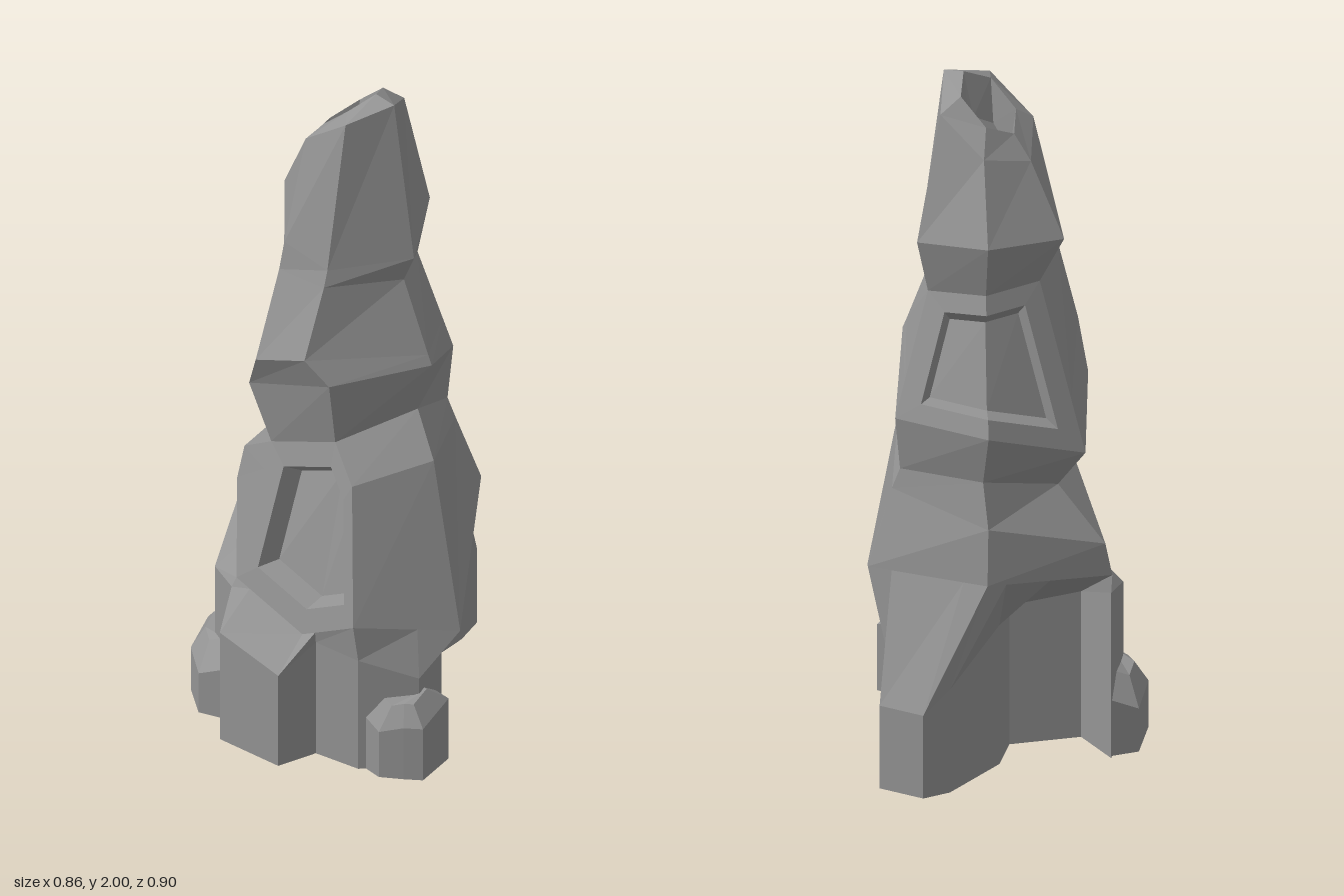
import * as THREE from 'three';

const V = (x, y, z) => new THREE.Vector3(x, y, z);
const [A, B, C, D, E, F] = [0, 1, 2, 3, 4, 5]; // ring corners, from +x towards +z

// Collects flat facets and turns them into one mesh
class Facets {
  constructor() { this.pos = []; }
  tri(a, b, c) { for (const p of [a, b, c]) this.pos.push(p.x, p.y, p.z); }
  quad(a, b, c, d) { this.tri(a, b, c); this.tri(a, c, d); }
  // Wall between two rings of equal length
  band(lo, hi, skip = () => false) {
    lo.forEach((p, i) => {
      const j = (i + 1) % lo.length;
      if (!skip(i)) this.quad(lo[j], p, hi[i], hi[j]);
    });
  }
  // Upward-facing lid
  cap(ring) {
    for (let i = 1; i < ring.length - 1; i++) this.tri(ring[0], ring[i + 1], ring[i]);
  }
  mesh(name, material) {
    const g = new THREE.BufferGeometry();
    g.setAttribute('position', new THREE.Float32BufferAttribute(this.pos, 3));
    g.computeVertexNormals();
    const m = new THREE.Mesh(g, material);
    m.name = name;
    return m;
  }
}

// Six-cornered panel with a sunken hollow, creased between corners 2 and 5
function hollow(f, poly, scale, depth, floorScale) {
  const c = poly[2].clone().lerp(poly[5], 0.5);
  const normal = V(0, 0, 0);
  poly.forEach((p, i) => {
    normal.add(p.clone().sub(c).cross(poly[(i + 1) % 6].clone().sub(c)));
  });
  normal.normalize();
  const rim = poly.map((p) => c.clone().lerp(p, scale));
  const floor = poly.map((p) => c.clone().lerp(p, scale * floorScale).addScaledVector(normal, -depth));
  for (let i = 0; i < 6; i++) {
    const j = (i + 1) % 6;
    f.quad(poly[i], poly[j], rim[j], rim[i]);
    f.quad(rim[i], rim[j], floor[j], floor[i]);
  }
  f.quad(floor[2], floor[3], floor[4], floor[5]);
  f.quad(floor[5], floor[0], floor[1], floor[2]);
}

// Boulder, open below: footprint corners [x, z, height], bevelled to a raised top
function boulder(name, material, corners) {
  const f = new Facets();
  const wall = corners.map(([x, z, h]) => V(x, h, z));
  const mid = wall.reduce((s, p) => s.add(p), V(0, 0, 0)).divideScalar(wall.length);
  const top = wall.map((p) => p.clone().lerp(mid, 0.5).add(V(0, 0.055, 0)));
  f.band(corners.map(([x, z]) => V(x, 0, z)), wall);
  f.band(wall, top);
  f.cap(top);
  return f.mesh(name, material);
}

// Tilted hexagonal cross-section of the spire
function section([y, tiltX, tiltZ, cx, halfWidth, front, back, side = 0]) {
  return [1, 0.5, -0.5, -1, -0.5, 0.5].map((u, i) => {
    const v = [0, 1, 1, 0, -1, -1][i];
    return V(cx + halfWidth * u, y + tiltX * u + tiltZ * v, [back, side, front][v + 1]);
  });
}

function spire(material) {
  const f = new Facets();
  // y, tilt in x, tilt in z, centre x, half width, front z, back z, side z
  const r = [
    [0.5, -0.06, -0.08, 0.005, 0.405, 0.335, -0.31, 0.06],
    [0.78, 0.12, 0.02, -0.05, 0.34, 0.25, -0.26, 0.04],
    [0.92, 0.095, 0, -0.03, 0.23, 0.22, -0.235],
    [1.06, 0.12, 0.02, -0.05, 0.3, 0.265, -0.27],
    [1.16, 0.05, 0.06, -0.03, 0.267, 0.3, -0.249],
    [1.425, 0, 0.03, -0.025, 0.175, 0.21, -0.165],
    [1.54, -0.03, -0.03, -0.047, 0.233, 0.2, -0.21],
    [1.885, 0.105, 0.02, -0.028, 0.143, 0.125, -0.13],
    [1.925, 0.075, 0, -0.033, 0.083, 0.075, -0.08], // crater rim
    [1.8, 0.07, 0, -0.036, 0.053, 0.06, -0.055], // crater floor
  ].map(section);
  // Corners knocked out of the regular shape: ring, corner, position
  for (const [k, i, ...p] of [
    [0, A, 0.41, 0.4, 0.07], [0, B, 0.24, 0.47, 0.33], [0, C, -0.175, 0.465, 0.335],
    [0, E, -0.2, 0.6, -0.27], [0, F, 0.155, 0.6, -0.33],
    [1, B, 0.17, 0.87, 0.25], [1, E, -0.19, 0.76, -0.25],
    [2, E, -0.16, 0.89, -0.23], [2, F, 0.1, 0.88, -0.25],
    [3, B, 0.1, 1.18, 0.265], [3, C, -0.2, 1.06, 0.25], [3, E, -0.2, 1.04, -0.265], [3, F, 0.1, 1.04, -0.275],
    [4, B, 0.04, 1.26, 0.3], [4, C, -0.135, 1.19, 0.3],
    [5, B, 0.04, 1.46, 0.215], [5, C, -0.125, 1.45, 0.21], [5, E, -0.125, 1.42, -0.16],
    [6, B, 0.04, 1.51, 0.2], [6, C, -0.115, 1.54, 0.2],
  ]) r[k][i].set(...p);
  // Keep the outer edges of the hollowed panels straight
  r[1][C].lerpVectors(r[2][C], r[0][C], 0.2);
  for (const i of [D, F]) r[4][i].lerpVectors(r[3][i], r[5][i], 0.3);

  // Walls and crater, leaving room for the front and rear hollows
  for (let k = 0; k < r.length - 1; k++) {
    f.band(r[k], r[k + 1], (i) =>
      (k < 2 && i === B) || ((k === 3 || k === 4) && (i === D || i === E)));
  }
  f.cap(r[9]);
  // Front hollow
  const sill = V(0.07, 0.385, 0.345);
  hollow(f, [r[2][C], r[0][C], sill, r[0][B], r[1][B], r[2][B]], 0.74, 0.06, 0.88);
  // Rear hollow, wrapped round the back corner
  hollow(f, [r[5][F], r[3][F], r[3][E], r[3][D], r[5][D], r[5][E]], 0.72, 0.06, 0.85);

  // Foot with pillars and undercuts, open below: x, z, wall height, place along the hip line
  const hip = [r[0][A], r[0][B], sill, r[0][C], r[0][D], r[0][E], r[0][F]];
  const foot = [
    [0.36, 0.09, 0.33, 0], [0.37, 0.2, 0.29, 0.4], [0.25, 0.32, 0.36, 1],
    [0.11, 0.335, 0.37, 1.75], [0.07, 0.45, 0.3, 2], [-0.14, 0.45, 0.355, 2.8], [-0.18, 0.35, 0.44, 3],
    [-0.29, 0.29, 0.43, 3.3], [-0.39, 0.07, 0.5, 4],
    [-0.24, 0.15, 0.44, 4.1], [-0.1, 0, 0.42, 4.5], [-0.15, -0.13, 0.42, 4.85],
    [-0.14, -0.37, 0.31, 5], [-0.1, -0.445, 0.25, 5.2], [0.04, -0.45, 0.25, 5.8], [0.06, -0.36, 0.32, 6],
    [0.06, -0.21, 0.32, 6.15], [0.13, -0.02, 0.37, 6.75],
  ];
  const wall = foot.map(([x, z, h]) => V(x, h, z));
  f.band(foot.map(([x, z]) => V(x, 0, z)), wall);
  f.band(wall, foot.map(([, , , t]) => {
    const i = Math.floor(t);
    return hip[i].clone().lerp(hip[(i + 1) % 7], t - i);
  }));
  return f.mesh('spire', material);
}

export function createModel() {
  const group = new THREE.Group();
  group.name = 'rockSpire';
  const stone = new THREE.MeshStandardMaterial({ color: 0x949494, flatShading: true, side: THREE.DoubleSide });

  group.add(spire(stone));
  // Boulders against the foot
  group.add(boulder('rightBoulder', stone,
    [[-0.18, 0.36, 0.17], [-0.27, 0.385, 0.13], [-0.36, 0.31, 0.14], [-0.43, 0.15, 0.13], [-0.38, 0.08, 0.17],
      [-0.22, 0.2, 0.2]]));
  group.add(boulder('leftBoulder', stone,
    [[0.41, 0.12, 0.2], [0.425, 0.25, 0.17], [0.38, 0.28, 0.17], [0.32, 0.315, 0.15], [0.24, 0.3, 0.18],
      [0.28, 0.12, 0.22]]));
  return group;
}
